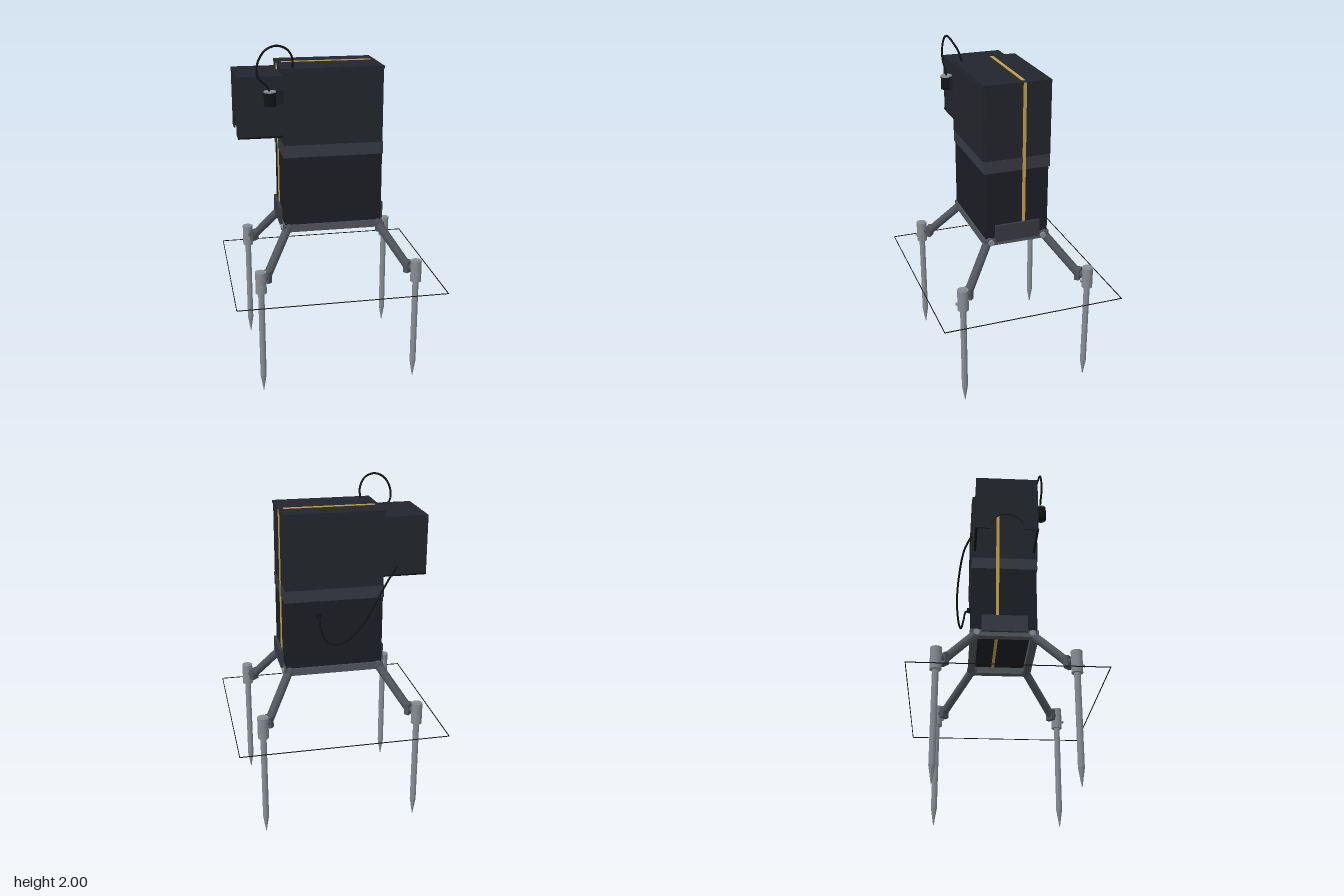
import * as THREE from 'three';

const mat = (color, side = THREE.FrontSide) => new THREE.MeshStandardMaterial({ color, side });
const M = {
  shell: mat(0x22252b), dark: mat(0x1b1e24), band: mat(0x363941), gold: mat(0xc4a04a),
  steel: mat(0x50555c), pale: mat(0x868d93), black: mat(0x121315), hood: mat(0x22252b, THREE.DoubleSide),
};
const V = (x, y, z) => new THREE.Vector3(x, y, z);

function add(parent, name, geo, material, x = 0, y = 0, z = 0) {
  const m = new THREE.Mesh(geo, material);
  m.name = name;
  m.position.set(x, y, z);
  parent.add(m);
  return m;
}

// box given by its minimum and maximum corners
function box(parent, name, material, a, b) {
  const s = b.map((v, i) => v - a[i]);
  return add(parent, name, new THREE.BoxGeometry(...s), material, ...a.map((v, i) => v + s[i] / 2));
}

// cylinder running between two points
function rod(parent, name, material, a, b, r, r2 = r, sides = 24) {
  const d = b.clone().sub(a);
  const m = add(parent, name, new THREE.CylinderGeometry(r2, r, d.length(), sides), material);
  m.position.copy(a).add(b).multiplyScalar(0.5);
  m.quaternion.setFromUnitVectors(V(0, 1, 0), d.normalize());
  return m;
}

function cable(parent, name, points, r) {
  const curve = new THREE.CatmullRomCurve3(points.map(p => V(...p)));
  return add(parent, name, new THREE.TubeGeometry(curve, 64, r, 8), M.black);
}

function makeCabinet() {
  const g = new THREE.Group();
  g.name = 'cabinet';
  box(g, 'lowerCase', M.dark, [-0.285, 0.955, -0.188], [0.285, 1.36, 0.19]);
  box(g, 'band', M.band, [-0.289, 1.36, -0.196], [0.289, 1.432, 0.196]);
  box(g, 'upperCase', M.shell, [-0.286, 1.432, -0.19], [0.286, 1.862, 0.19]);
  // door and rear panels standing slightly proud
  box(g, 'frontPanel', M.shell, [-0.28, 1.432, 0.19], [0.28, 1.852, 0.2]);
  box(g, 'rearPanel', M.shell, [-0.28, 1.432, -0.2], [0.28, 1.852, -0.19]);
  box(g, 'lid', M.shell, [-0.29, 1.85, -0.196], [0.29, 1.865, 0.196]);
  // stripe wrapping top, sides and underside
  const z0 = -0.049, z1 = -0.031;
  box(g, 'topStripe', M.gold, [-0.262, 1.86, z0], [0.262, 1.869, z1]);
  box(g, 'bottomStripe', M.gold, [-0.262, 0.951, z0], [0.262, 0.958, z1]);
  for (const s of [-1, 1]) {
    const x = s * 0.288;
    box(g, 'sideStripe', M.gold, [x - 0.004, 0.955, z0], [x + 0.004, 1.862, z1]);
  }
  return g;
}

// open-bottomed side hood with an arched opening in its outer wall
function makeHood() {
  const g = new THREE.Group();
  g.name = 'sideHood';
  const x0 = -0.54, x1 = -0.285, y0 = 1.48, y1 = 1.825, t = 0.01;
  box(g, 'hoodTop', M.hood, [x0, y1 - t, -0.182], [x1, y1, 0.18]);
  box(g, 'hoodFront', M.hood, [x0, y0, 0.17], [x1, y1 - t, 0.18]);
  box(g, 'hoodBack', M.hood, [x0, y0, -0.182], [x1, y1 - t, -0.172]);
  const s = new THREE.Shape();
  s.moveTo(-0.18, y0);
  s.lineTo(-0.1, y0);
  s.absarc(0, y0, 0.1, Math.PI, 0, true);
  s.lineTo(0.18, y0);
  s.lineTo(0.18, y1 - t);
  s.lineTo(-0.18, y1 - t);
  const geo = new THREE.ExtrudeGeometry(s, { depth: t, bevelEnabled: false, curveSegments: 24 });
  geo.rotateY(-Math.PI / 2);
  add(g, 'hoodOuterWall', geo, M.hood, x0 + t, 0, 0);
  // folded hems along the lower edges
  for (const z of [-0.177, 0.177]) rod(g, 'hem', M.black, V(x0, y0 + 0.003, z), V(x1, y0 + 0.003, z), 0.007, 0.007, 10);
  return g;
}

function makeFrame() {
  const g = new THREE.Group();
  g.name = 'baseFrame';
  for (const s of [-1, 1]) {
    const z = s * 0.175, x = s * 0.272;
    box(g, 'longRail', M.steel, [-0.295, 0.912, z - 0.022], [0.295, 0.956, z + 0.022]);
    box(g, 'crossRail', M.steel, [x - 0.022, 0.914, -0.155], [x + 0.022, 0.955, 0.155]);
    const p = s * 0.301;
    box(g, 'sidePlate', M.band, [p - 0.008, 0.94, -0.132], [p + 0.008, 1.042, 0.134]);
  }
  return g;
}

function makeLeg(sx, sz) {
  const g = new THREE.Group();
  g.name = 'leg';
  const x = sx * 0.455, z = sz * 0.383;
  const hip = V(sx * 0.265, 0.935, sz * 0.168), knee = V(sx * 0.42, 0.7, sz * 0.345);
  rod(g, 'strut', M.steel, hip, knee, 0.025);
  add(g, 'hipJoint', new THREE.SphereGeometry(0.034, 20, 14), M.steel, hip.x, hip.y, hip.z);
  // hip bolt
  rod(g, 'hipBolt', M.pale, V(sx * 0.27, 0.935, sz * 0.16), V(sx * 0.306, 0.935, sz * 0.16), 0.017);
  // clamp between strut and stake holder
  const clamp = add(g, 'clamp', new THREE.BoxGeometry(0.052, 0.068, 0.03), M.steel, sx * 0.418, 0.705, sz * 0.34);
  clamp.rotation.y = Math.atan2(sx * 0.16, sz * 0.18);
  rod(g, 'clampLink', M.steel, V(sx * 0.41, 0.705, sz * 0.33), V(x, 0.705, z), 0.02);
  // stake holder, stake and point
  rod(g, 'holder', M.pale, V(x, 0.628, z), V(x, 0.757, z), 0.032);
  rod(g, 'stake', M.pale, V(x, 0.1, z), V(x, 0.76, z), 0.018);
  rod(g, 'stakePoint', M.pale, V(x, 0, z), V(x, 0.1, z), 0.002, 0.018);
  // locking screw, always facing forwards
  rod(g, 'lockScrew', M.pale, V(x, 0.672, z + 0.025), V(x, 0.672, z + 0.043), 0.008, 0.008, 12);
  return g;
}

function makeSensor() {
  const g = new THREE.Group();
  g.name = 'sensor';
  rod(g, 'sensorBody', M.black, V(-0.36, 1.668, 0.213), V(-0.36, 1.742, 0.213), 0.034);
  rod(g, 'sensorCap', M.pale, V(-0.36, 1.742, 0.213), V(-0.36, 1.75, 0.213), 0.034);
  box(g, 'sensorBracket', M.dark, [-0.33, 1.672, 0.178], [-0.285, 1.748, 0.205]);
  cable(g, 'sensorCable', [[-0.36, 1.745, 0.213], [-0.375, 1.775, 0.213], [-0.425, 1.83, 0.216], [-0.425, 1.9, 0.216],
    [-0.385, 1.968, 0.214], [-0.325, 1.994, 0.212], [-0.265, 1.975, 0.2], [-0.23, 1.925, 0.175], [-0.226, 1.86, 0.155]], 0.006);
  return g;
}

export function createModel() {
  const model = new THREE.Group();
  model.name = 'fieldStation';
  model.add(makeCabinet(), makeHood(), makeFrame(), makeSensor());
  for (const sx of [-1, 1]) for (const sz of [-1, 1]) model.add(makeLeg(sx, sz));

  // rear cable and its gland
  cable(model, 'rearCable', [[-0.36, 1.535, -0.2], [-0.3, 1.475, -0.24], [-0.22, 1.35, -0.267], [-0.13, 1.21, -0.276],
    [-0.03, 1.12, -0.262], [0.05, 1.125, -0.247], [0.087, 1.2, -0.232], [0.095, 1.265, -0.218], [0.095, 1.272, -0.188]], 0.006);
  rod(model, 'cableGland', M.black, V(0.095, 1.272, -0.185), V(0.095, 1.272, -0.212), 0.016);

  // thin outline marking ground level
  const outline = new THREE.Group();
  outline.name = 'groundOutline';
  for (const s of [-1, 1]) {
    const z = s * 0.536, x = s * 0.608;
    box(outline, 'longLine', M.black, [-0.61, 0.599, z - 0.002], [0.61, 0.603, z + 0.002]);
    box(outline, 'shortLine', M.black, [x - 0.002, 0.599, -0.536], [x + 0.002, 0.603, 0.536]);
  }
  model.add(outline);
  return model;
}
